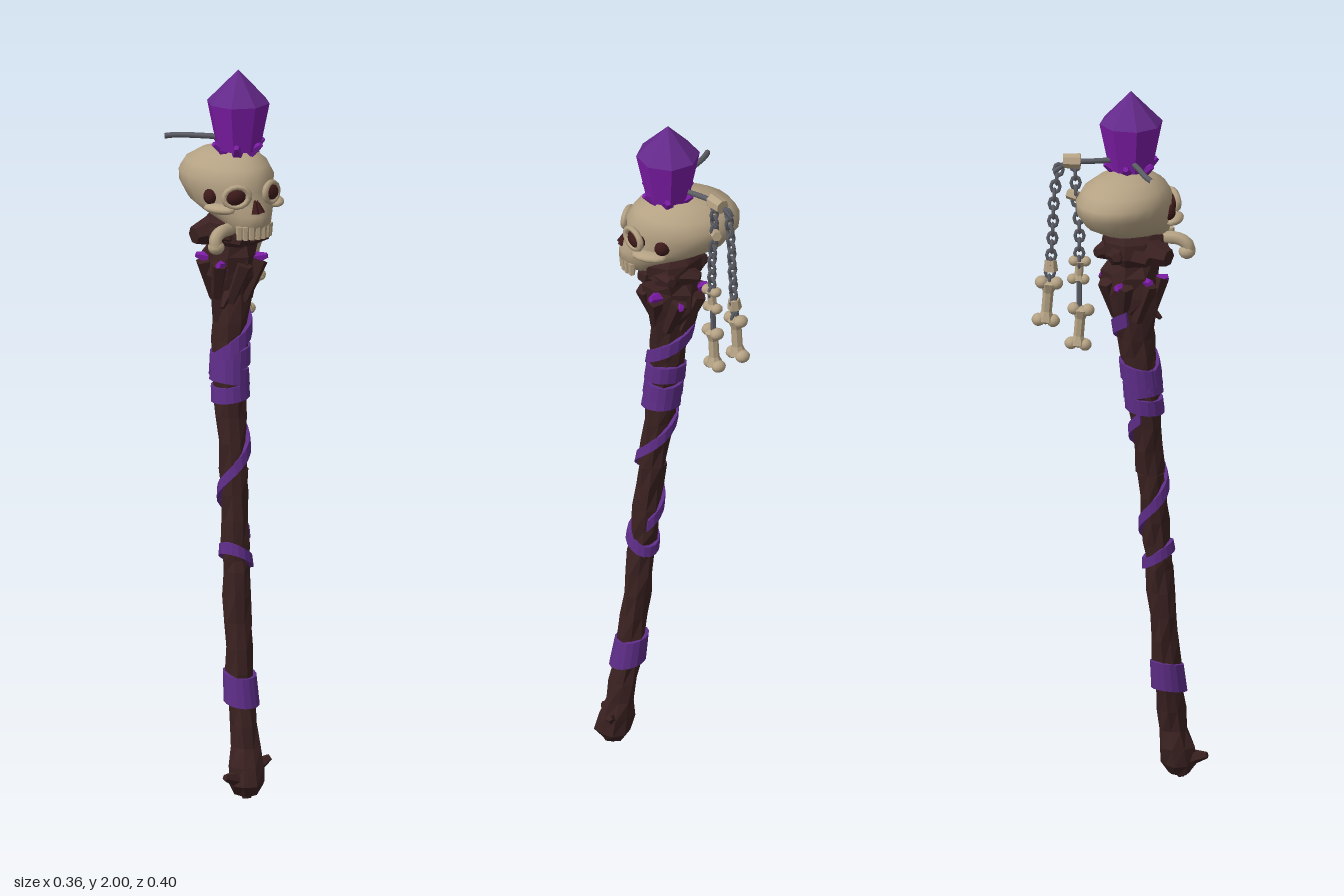
import * as THREE from 'three';

const mat = (name, color, side = THREE.FrontSide) => {
  const m = new THREE.MeshStandardMaterial({ color, side });
  m.name = name;
  return m;
};
const V = (x, y, z) => new THREE.Vector3(x, y, z);

// faceted copy of a geometry
function flat(geo) {
  const g = geo.index ? geo.toNonIndexed() : geo;
  g.computeVertexNormals();
  return g;
}

// skin over a list of closed rings of points, with both ends capped
function loft(rings) {
  const n = rings[0].length, pos = [], idx = [];
  rings.forEach((r) => r.forEach((p) => pos.push(p.x, p.y, p.z)));
  for (let j = 0; j < rings.length - 1; j++) {
    for (let i = 0; i < n; i++) {
      const a = j * n + i, b = j * n + (i + 1) % n;
      idx.push(a, b, b + n, a, b + n, a + n);
    }
  }
  const top = (rings.length - 1) * n;
  for (let i = 1; i < n - 1; i++) idx.push(0, i + 1, i, top, top + i, top + i + 1);
  const g = new THREE.BufferGeometry();
  g.setAttribute('position', new THREE.Float32BufferAttribute(pos, 3));
  g.setIndex(idx);
  g.computeVertexNormals();
  return g;
}

// staff profile: height, centre x, centre z, radius
const STAFF = [
  [0.01, -0.085, 0.155, 0.028], [0.04, -0.083, 0.155, 0.05], [0.09, -0.08, 0.148, 0.05],
  [0.14, -0.075, 0.14, 0.038], [0.3, -0.076, 0.11, 0.038], [0.65, -0.068, 0.077, 0.037],
  [0.9, -0.06, 0.052, 0.038], [1.15, -0.055, 0.022, 0.045], [1.3, -0.042, 0.008, 0.05],
  [1.38, -0.037, 0.0, 0.058], [1.43, -0.035, 0.0, 0.072], [1.49, -0.033, 0.0, 0.074],
  [1.52, -0.032, 0.005, 0.066], [1.545, -0.03, 0.008, 0.088], [1.585, -0.03, 0.008, 0.085],
  [1.61, -0.03, 0, 0.06],
];
function staffAt(y) {
  let k = 0;
  while (k < STAFF.length - 2 && STAFF[k + 1][0] < y) k++;
  const a = STAFF[k], b = STAFF[k + 1];
  const t = THREE.MathUtils.clamp((y - a[0]) / (b[0] - a[0]), 0, 1);
  const [, x, z, r] = a.map((v, i) => v + (b[i] - v) * t);
  return { x, z, r };
}
function onStaff(angle, y, extra = 0) {
  const s = staffAt(y);
  return V(s.x + Math.sin(angle) * (s.r + extra), y, s.z + Math.cos(angle) * (s.r + extra));
}

// cloth strip around the staff; height(angle) gives its middle line
function wrap(from, to, width, height) {
  const rings = [], steps = Math.ceil(Math.abs(to - from) / 0.4);
  for (let i = 0; i <= steps; i++) {
    const a = from + (to - from) * i / steps, y = height(a), h = width / 2;
    rings.push([onStaff(a, y - h, -0.006), onStaff(a, y + h, -0.006), onStaff(a, y + h, 0.008), onStaff(a, y - h, 0.011)]);
  }
  return flat(loft(rings));
}

export function createModel() {
  const root = new THREE.Group();
  root.name = 'skullStaff';
  const wood = mat('dark wood', 0x3b2121), bone = mat('old bone', 0xb5a284);
  const cloth = mat('purple cloth', 0x5e2d88, THREE.DoubleSide);
  const crystal = mat('crystal', 0x64298a), glow = mat('bright crystal', 0x7c1ca6);
  const iron = mat('grey iron', 0x5d5e66), hollow = mat('dark hollow', 0x3d1a1a);
  const add = (name, geo, m, parent = root) => {
    const mesh = new THREE.Mesh(geo, m);
    mesh.name = name;
    parent.add(mesh);
    return mesh;
  };
  // tapered peg from p to q
  const peg = (name, p, q, r0, r1, m, sides = 5, parent = root) => {
    const mesh = add(name, flat(new THREE.CylinderGeometry(r1, r0, p.distanceTo(q), sides)), m, parent);
    mesh.position.copy(p).lerp(q, 0.5);
    mesh.quaternion.setFromUnitVectors(V(0, 1, 0), q.clone().sub(p).normalize());
    return mesh;
  };
  const blob = (name, x, y, z, sx, sy, sz, m, parent = root) => {
    const mesh = add(name, new THREE.SphereGeometry(1, 12, 8), m, parent);
    mesh.position.set(x, y, z);
    mesh.scale.set(sx, sy, sz);
    return mesh;
  };

  // gnarled wooden shaft widening into a cup
  const heights = STAFF.map((s) => s[0]);
  for (let y = 0.2; y < 1.3; y += 0.07) heights.push(y);
  heights.sort((a, b) => a - b);
  add('shaft', flat(loft(heights.map((y, j) => Array.from({ length: 9 }, (_, i) => {
    const rough = 0.004 * Math.sin(i * 2.4 + j * 1.9) + (y > 1.35 ? 0.008 * Math.sin(i * 2.1 + j) : 0);
    return onStaff(i / 9 * Math.PI * 2, y, rough);
  })))), wood);

  // roots at the foot
  peg('footSpike', V(-0.08, 0.05, 0.15), V(-0.163, 0.07, 0.172), 0.035, 0.009, wood);
  peg('footSpike', V(-0.08, 0.07, 0.15), V(-0.02, 0.11, 0.175), 0.03, 0.009, wood);
  peg('footSpike', V(-0.08, 0.05, 0.15), V(-0.083, 0.05, 0.203), 0.04, 0.006, wood);
  peg('footSpike', V(-0.085, 0.06, 0.15), V(-0.085, 0.0, 0.16), 0.04, 0.012, wood);

  // knots around the cup
  for (let i = 0; i < 7; i++) {
    const a = i * 0.9 + 0.3;
    peg('cupKnot', onStaff(a, 1.55, -0.03), onStaff(a + 0.3, 1.55 + 0.015 * Math.sin(i * 3), 0.014), 0.036, 0.014, wood, 6);
    peg('cupRoot', onStaff(a, 1.36, -0.01), onStaff(a + 0.5, 1.47, 0.004), 0.015, 0.024, wood);
  }
  peg('cupSideKnot', V(-0.07, 1.56, 0), V(-0.155, 1.55, 0), 0.05, 0.025, wood, 6);
  peg('cupThorn', V(-0.06, 1.39, 0.03), V(-0.095, 1.35, 0.05), 0.018, 0.006, wood);

  // cloth wrappings
  const P = Math.PI;
  add('upperSpiralWrap', wrap(-P * 0.8, P * 1.1, 0.042, (a) => 1.25 + a * 0.035), cloth);
  [[1.2, 0.05, 0.012], [1.155, 0.045, -0.01], [1.11, 0.042, 0.008]].forEach(([y, w, tilt]) =>
    add('upperBand', wrap(0, P * 2, w, (a) => y + tilt * Math.sin(a)), cloth));
  add('middleSpiralWrap', wrap(-P * 1.5, P * 1.1, 0.034, (a) => 0.925 + a * 0.044), cloth);
  add('lowerBand', wrap(0, P * 2, 0.03, (a) => 0.66 - 0.025 * Math.sin(a) + 0.012 * Math.cos(a)), cloth);
  add('footBand', wrap(0, P * 2, 0.08, (a) => 0.3 - 0.01 * Math.cos(a)), cloth);

  // small crystals growing out of the cup
  [-0.95, 0.8, 1.7, 3.3, 4.3].forEach((a, i) => {
    const y = 1.46 + 0.012 * Math.sin(i * 2);
    peg('cupShard', onStaff(a, y, -0.02), onStaff(a, y + 0.012, 0.025), 0.022, 0.008, glow);
  });

  // skull: height, half width, back z, front z
  const skull = new THREE.Group();
  skull.name = 'skull';
  root.add(skull);
  const levels = [
    [1.565, 0.05, 0.04, 0.125], [1.59, 0.064, 0.0, 0.147], [1.615, 0.088, -0.1, 0.146],
    [1.64, 0.108, -0.15, 0.137], [1.68, 0.12, -0.182, 0.124], [1.71, 0.122, -0.182, 0.126],
    [1.74, 0.107, -0.16, 0.105], [1.765, 0.075, -0.115, 0.067], [1.778, 0.035, -0.065, 0.015], [1.781, 0.004, -0.03, -0.022],
  ];
  add('cranium', loft(levels.map(([y, w, b, f]) => Array.from({ length: 20 }, (_, i) => {
    const a = i / 20 * P * 2, c = Math.cos(a);
    const narrow = 1 - 0.1 * Math.max(0, c);
    return V(-0.03 + Math.sin(a) * w * narrow, y, (b + f) / 2 + c * (f - b) / 2);
  }))), bone, skull);
  for (const s of [-1, 1]) {
    const x = -0.034 + s * 0.055;
    blob('eyeSocket', x, 1.672, 0.103, 0.032, 0.025, 0.024, hollow, skull).rotation.set(0, s * 0.45, -s * 0.2);
    const brow = add('eyeRim', new THREE.TorusGeometry(0.034, 0.009, 6, 14), bone, skull);
    brow.position.set(x, 1.673, 0.114);
    brow.rotation.set(0, s * 0.5, -s * 0.2);
    brow.scale.y = 0.82;
    blob('cheekbone', -0.032 + s * 0.088, 1.636, 0.075, 0.026, 0.014, 0.05, bone, skull).rotation.y = -s * 0.4;
    blob('temple', -0.03 + s * 0.098, 1.665, 0.04, 0.017, 0.022, 0.022, hollow, skull);
    peg('noseHole', V(-0.036 + s * 0.009, 1.625, 0.139), V(-0.036 + s * 0.003, 1.66, 0.126), 0.012, 0.004, hollow, 6, skull);
  }
  for (let i = -3; i <= 3; i++) {
    const a = i * 0.3, x = -0.034 + Math.sin(a) * 0.06, z = 0.085 + Math.cos(a) * 0.05;
    peg('tooth', V(x, 1.59, z), V(x, 1.553, z), 0.011, 0.008, bone, 6, skull);
  }

  // curled bone beside the jaw
  const curl = new THREE.CatmullRomCurve3([V(-0.08, 1.575, 0.07), V(-0.125, 1.575, 0.09), V(-0.148, 1.56, 0.1), V(-0.15, 1.535, 0.105)]);
  add('jawBone', new THREE.TubeGeometry(curl, 8, 0.018, 7), bone);
  blob('jawBoneEnd', -0.146, 1.538, 0.1, 0.023, 0.02, 0.023, bone);

  // large crystal on top
  const gem = new THREE.Group();
  gem.name = 'topCrystal';
  gem.position.set(-0.021, 0, 0.014);
  root.add(gem);
  add('crystalBody', flat(new THREE.CylinderGeometry(0.087, 0.06, 0.13, 8)), glow, gem).position.y = 1.845;
  add('crystalTip', flat(new THREE.ConeGeometry(0.087, 0.09, 8)), crystal, gem).position.y = 1.955;
  for (let i = 0; i < 6; i++) {
    const a = i * 1.05 + 0.4, x = Math.sin(a), z = Math.cos(a);
    peg('baseShard', V(x * 0.04, 1.775, z * 0.04), V(x * 0.075, 1.8, z * 0.075), 0.018, 0.008, glow, 5, gem);
  }

  // iron arms behind the crystal
  const arm = (pts) => add('ironArm', new THREE.TubeGeometry(new THREE.CatmullRomCurve3(pts), 8, 0.008, 6), iron);
  arm([V(-0.05, 1.808, -0.02), V(-0.1, 1.81, -0.06), V(-0.15, 1.81, -0.1), V(-0.178, 1.808, -0.113)]);
  arm([V(0.01, 1.808, -0.03), V(0.06, 1.81, -0.085), V(0.095, 1.81, -0.115), V(0.125, 1.785, -0.145)]);

  // knobbed bone hanging down from a top point
  const hangBone = (x, y, z, len, r, turn) => {
    const g = new THREE.Group();
    g.name = 'hangingBone';
    g.position.set(x, y - len / 2, z);
    g.rotation.set(0, turn, 0.08);
    root.add(g);
    const h = len / 2;
    const prof = [[0, -h], [r, -h * 0.8], [r * 0.6, -h * 0.4], [r * 0.6, h * 0.4], [r, h * 0.8], [0, h]];
    add('boneShaft', flat(new THREE.LatheGeometry(prof.map((p) => new THREE.Vector2(...p)), 7)), bone, g);
    for (const sx of [-1, 1]) for (const sy of [-1, 1])
      blob('boneKnob', sx * r * 0.8, sy * h * 0.8, 0, r * 0.75, r * 0.7, r * 0.85, bone, g);
  };
  // chain of alternating links through points
  const chain = (pts) => {
    const path = new THREE.CatmullRomCurve3(pts), n = Math.round(path.getLength() / 0.025);
    for (let i = 0; i <= n; i++) {
      const link = add('chainLink', new THREE.TorusGeometry(0.012, 0.005, 5, 8), iron);
      link.position.copy(path.getPointAt(i / n));
      link.rotation.y = 0.6 + (i % 2) * P / 2;
      link.scale.y = 1.35;
    }
  };
  chain([V(0.085, 1.8, -0.1), V(0.08, 1.7, -0.1), V(0.074, 1.62, -0.095), V(0.075, 1.52, -0.095)]);
  chain([V(0.115, 1.79, -0.135), V(0.125, 1.72, -0.14), V(0.128, 1.6, -0.145), V(0.135, 1.47, -0.15)]);
  hangBone(0.075, 1.53, -0.095, 0.065, 0.02, 0.7);
  hangBone(0.07, 1.4, -0.1, 0.125, 0.024, 0.5);
  peg('boneLink', V(0.074, 1.48, -0.096), V(0.071, 1.38, -0.1), 0.008, 0.008, iron, 6);
  hangBone(0.138, 1.48, -0.155, 0.135, 0.025, 0.6);
  // bone beads on the arm and chains
  peg('armBead', V(0.07, 1.812, -0.095), V(0.11, 1.812, -0.12), 0.022, 0.02, bone, 7);
  peg('chainBead', V(0.075, 1.71, -0.1), V(0.105, 1.715, -0.105), 0.015, 0.014, bone, 6);
  peg('chainBead', V(0.13, 1.5, -0.15), V(0.132, 1.53, -0.148), 0.02, 0.016, bone, 6);
  return root;
}
